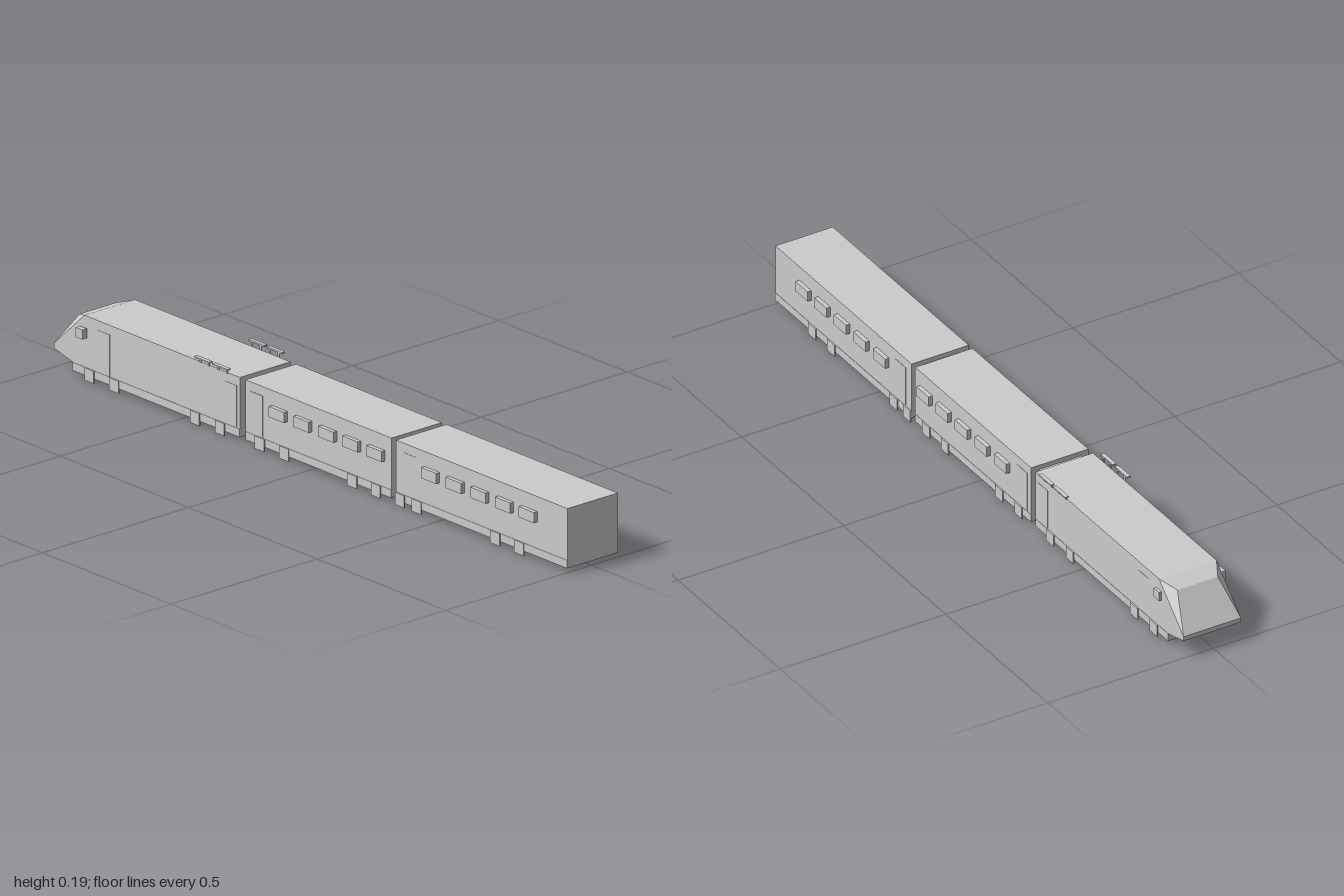
import * as THREE from 'three';
import { ConvexGeometry } from 'three/addons/geometries/ConvexGeometry.js';

const material = new THREE.MeshStandardMaterial({ color: 0xcccccc, flatShading: true });
const LEFT = 0.09, RIGHT = -0.083; // side planes of the bodies
const MID = (LEFT + RIGHT) / 2;

function add(parent, name, geometry) {
  const mesh = new THREE.Mesh(geometry, material);
  mesh.name = name;
  parent.add(mesh);
  return mesh;
}

// Box given by its limits on each axis
function box(parent, name, [x0, x1], [y0, y1], [z0, z1]) {
  const mesh = add(parent, name, new THREE.BoxGeometry(x1 - x0, y1 - y0, z1 - z0));
  mesh.position.set((x0 + x1) / 2, (y0 + y1) / 2, (z0 + z1) / 2);
  return mesh;
}

// The same box on both flanks, from 'inner' to 'outer' beyond the body side
function pair(parent, name, inner, outer, y, z) {
  box(parent, name + 'Left', [LEFT + inner, LEFT + outer], y, z);
  box(parent, name + 'Right', [RIGHT - outer, RIGHT - inner], y, z);
}

function car(name, z0, z1, { windows, doors, wheels }) {
  const group = new THREE.Group();
  group.name = name;
  box(group, 'body', [RIGHT, LEFT], [0.034, 0.176], [z0, z1]);
  box(group, 'skirt', [RIGHT - 0.001, LEFT + 0.001], [0.012, 0.034], [z0, z1]);
  for (const z of windows) pair(group, 'window', -0.002, 0.012, [0.106, 0.135], [z - 0.03, z + 0.03]);
  for (const z of doors) pair(group, 'door', -0.002, 0.001, [0.036, 0.15], [z - 0.024, z + 0.024]);
  for (const z of wheels) {
    pair(group, 'wheelPlate', 0.0005, 0.004, [0, 0.034], [z - 0.018, z + 0.018]);
  }
  return group;
}

export function createModel() {
  const train = new THREE.Group();
  train.name = 'train';

  // Passenger cars
  train.add(car('frontCar', 0.333, 1, {
    windows: [0.853, 0.761, 0.665, 0.569, 0.473],
    doors: [0.385],
    wheels: [0.815, 0.722, 0.416, 0.351],
  }));
  train.add(car('middleCar', -0.253, 0.315, {
    windows: [0.26, 0.167, 0.072, -0.024, -0.12],
    doors: [-0.21],
    wheels: [0.257, 0.165, -0.1, -0.195],
  }));

  // Power car with its wedge-shaped cab
  const power = car('powerCar', -0.88, -0.275, {
    windows: [],
    doors: [-0.311, -0.805],
    wheels: [-0.35, -0.447, -0.762, -0.858],
  });
  train.add(power);
  const nosePoints = [];
  for (const side of [-1, 1]) {
    const point = (halfWidth, y, z) => nosePoints.push(new THREE.Vector3(MID + side * halfWidth, y, z));
    const half = (LEFT - RIGHT) / 2;
    point(half, 0.176, -0.88);
    point(half, 0.034, -0.88);
    point(0.061, 0.16, -0.928); // narrowed brow above the windscreen
    point(half, 0.065, -1);
    point(half, 0.052, -1);
    point(half, 0.034, -0.925);
  }
  add(power, 'nose', new ConvexGeometry(nosePoints));
  box(power, 'noseSkirt', [RIGHT - 0.001, LEFT + 0.001], [0.012, 0.034], [-0.925, -0.88]);

  // Side mirrors, the right one standing out further
  box(power, 'mirrorLeft', [LEFT - 0.004, LEFT + 0.008], [0.118, 0.144], [-0.892, -0.866]);
  box(power, 'mirrorRight', [RIGHT - 0.02, RIGHT - 0.004], [0.118, 0.144], [-0.892, -0.866]);

  // Current collectors: small table-shaped frames along both roof edges
  for (const z of [-0.34, -0.41]) {
    pair(power, 'collectorBar', 0.001, 0.0125, [0.187, 0.191], [z - 0.03, z + 0.03]);
    for (const dz of [-0.017, 0.017]) {
      pair(power, 'collectorLeg', 0.001, 0.003, [0.174, 0.188], [z + dz - 0.003, z + dz + 0.003]);
    }
  }

  // Gangways between the cars
  for (const [z0, z1] of [[0.31, 0.338], [-0.28, -0.248]]) {
    box(train, 'gangway', [-0.06, 0.066], [0.058, 0.163], [z0, z1]);
  }
  return train;
}
